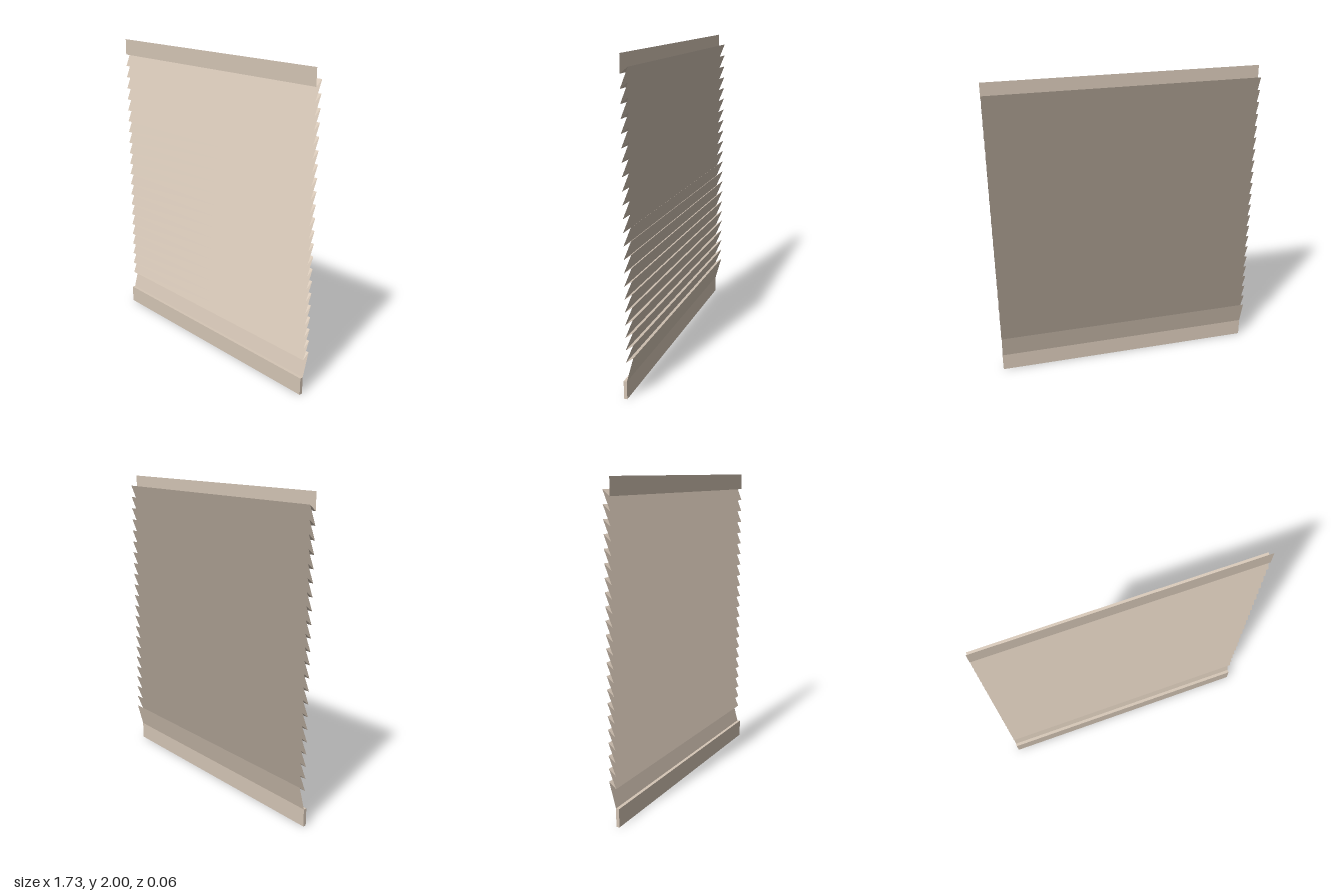
import * as THREE from 'three';

const WIDTH = 1.732;
const PLEATS = 22;      // folds in the fabric
const PITCH = 0.079;    // height of one fold
const FRONT = 0.015, BACK = -0.032;

// Sheet swept across the width along a [z, y] profile, running from top to bottom
function pleatedSheet(profile) {
  const plane = new THREE.PlaneGeometry(WIDTH, 1, 1, profile.length - 1);
  const pos = plane.attributes.position;
  for (let i = 0; i < pos.count; i++) {
    const [z, y] = profile[Math.floor(i / 2)];
    pos.setXYZ(i, pos.getX(i), y, z);
  }
  const geo = plane.toNonIndexed(); // sharp folds
  geo.computeVertexNormals();
  return geo;
}

export function createModel() {
  const group = new THREE.Group();
  group.name = 'pleatedBlind';

  const fabric = new THREE.MeshStandardMaterial({ color: 0xd4c5b5, side: THREE.DoubleSide });
  fabric.name = 'beigeFabric';

  const add = (name, geometry) => {
    const mesh = new THREE.Mesh(geometry, fabric);
    mesh.name = name;
    group.add(mesh);
    return mesh;
  };

  // Flat strip along the top
  add('topStrip', pleatedSheet([[0.0135, 2], [0.0135, 1.895]]));

  // Saw-tooth folds: each front edge tucks up and back, then slopes down to the next
  const folds = [];
  for (let k = 0; k < PLEATS; k++) {
    const y = 1.895 - k * PITCH;
    folds.push([k === 0 ? 0.0135 : FRONT, y], [BACK, y + 0.037]);
  }
  folds.push([0.011, 0.115]); // last long slope down to the bottom bar
  add('pleats', pleatedSheet(folds));

  // Solid weight bar at the bottom
  const bar = add('bottomBar', new THREE.BoxGeometry(WIDTH, 0.115, 0.021));
  bar.position.set(0, 0.0575, 0.0215);

  return group;
}
